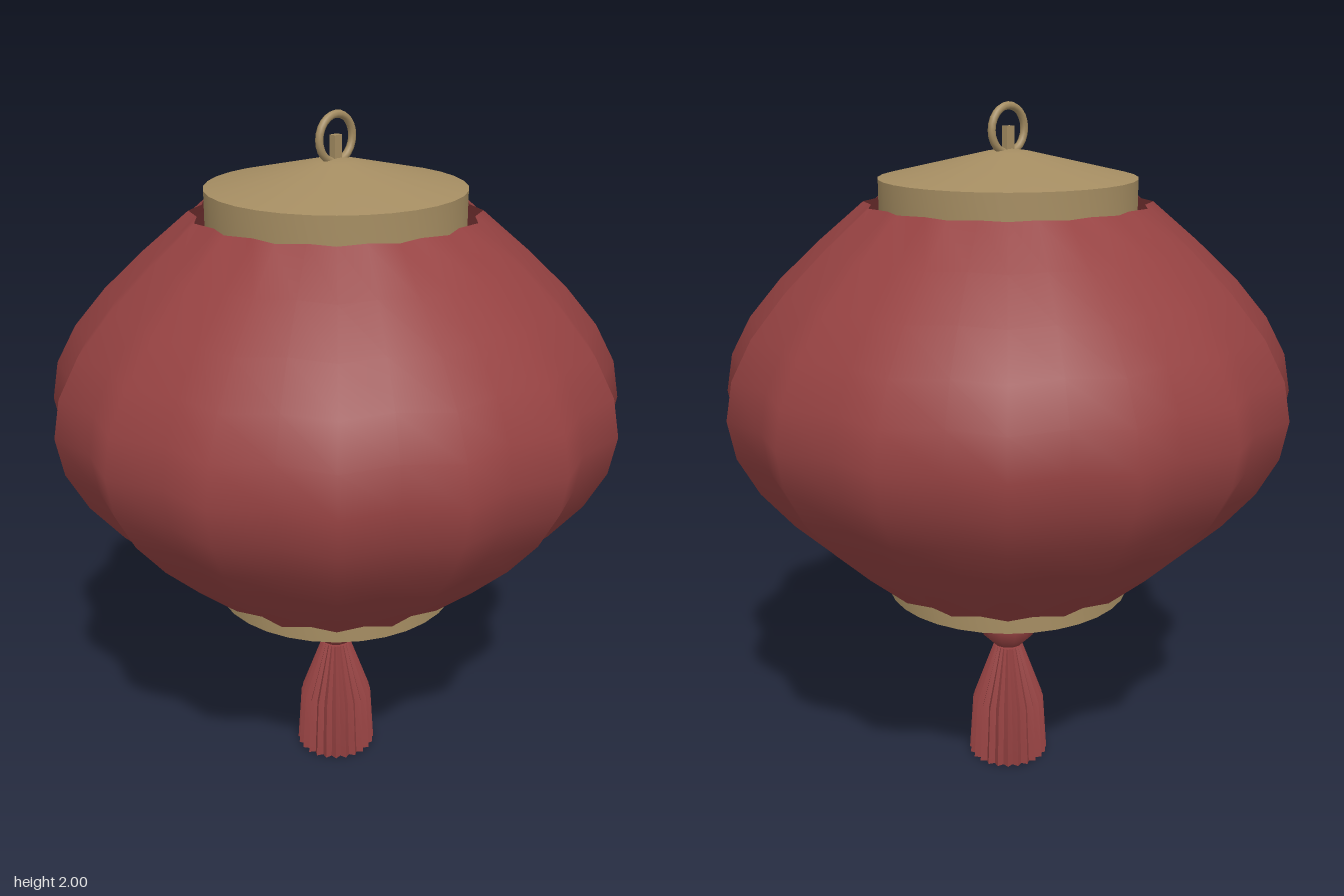
import * as THREE from 'three';
import { mergeVertices, toCreasedNormals } from 'three/addons/utils/BufferGeometryUtils.js';

const red = new THREE.MeshStandardMaterial({ color: 0x964242, side: THREE.DoubleSide });
red.name = 'red silk';
const gold = new THREE.MeshStandardMaterial({ color: 0xa58d62 });
gold.name = 'aged brass';

const toPoints = (list) => list.map(([r, y]) => new THREE.Vector2(r, y));

// Lathe whose alternate columns are drawn inwards to make ribs or pleats
function pleatedLathe(points, pleats, valley) {
  const geo = new THREE.LatheGeometry(points, pleats * 2);
  const pos = geo.attributes.position;
  for (let i = 0; i < pos.count; i++) {
    if (Math.floor(i / points.length) % 2 === 1) {
      pos.setXYZ(i, pos.getX(i) * valley, pos.getY(i), pos.getZ(i) * valley);
    }
  }
  geo.deleteAttribute('uv');
  geo.deleteAttribute('normal');
  const merged = mergeVertices(geo, 1e-5);
  merged.computeVertexNormals();
  return merged;
}

export function createModel() {
  const model = new THREE.Group();
  model.name = 'hangingLantern';

  function add(name, geometry, material, y = 0) {
    const mesh = new THREE.Mesh(geometry, material);
    mesh.name = name;
    mesh.position.y = y;
    model.add(mesh);
    return mesh;
  }

  // Ribbed shade, open at both ends
  const shade = [];
  for (let i = 0; i <= 10; i++) {
    const t = i / 10;
    shade.push([0.405 + 0.415 * Math.sin(Math.PI * t), 0.635 + 1.095 * t]);
  }
  add('shade', pleatedLathe(toPoints(shade), 16, 0.943), red);

  // Collars with shallow conical caps
  const cap = (list) => toCreasedNormals(new THREE.LatheGeometry(toPoints(list), 32), 0.6);
  add('topCap', cap([[0, 1.7], [0.362, 1.7], [0.362, 1.797], [0.06, 1.867], [0, 1.875]]), gold);
  add('bottomCap', cap([[0, 0.515], [0.362, 0.576], [0.362, 0.665], [0, 0.665]]), gold);

  // Hanging ring and its post
  add('hangingRing', new THREE.TorusGeometry(0.063, 0.011, 8, 24), gold, 1.926);
  add('ringPost', new THREE.BoxGeometry(0.028, 0.08, 0.02), gold, 1.895);

  // Bead and pleated tassel
  add('bead', new THREE.SphereGeometry(0.09, 12, 6), red, 0.45);
  const tassel = pleatedLathe(
    toPoints([[0, 0], [0.122, 0], [0.11, 0.185], [0.045, 0.365], [0, 0.365]]), 24, 0.88);
  add('tassel', toCreasedNormals(tassel, 0.35), red);

  return model;
}
